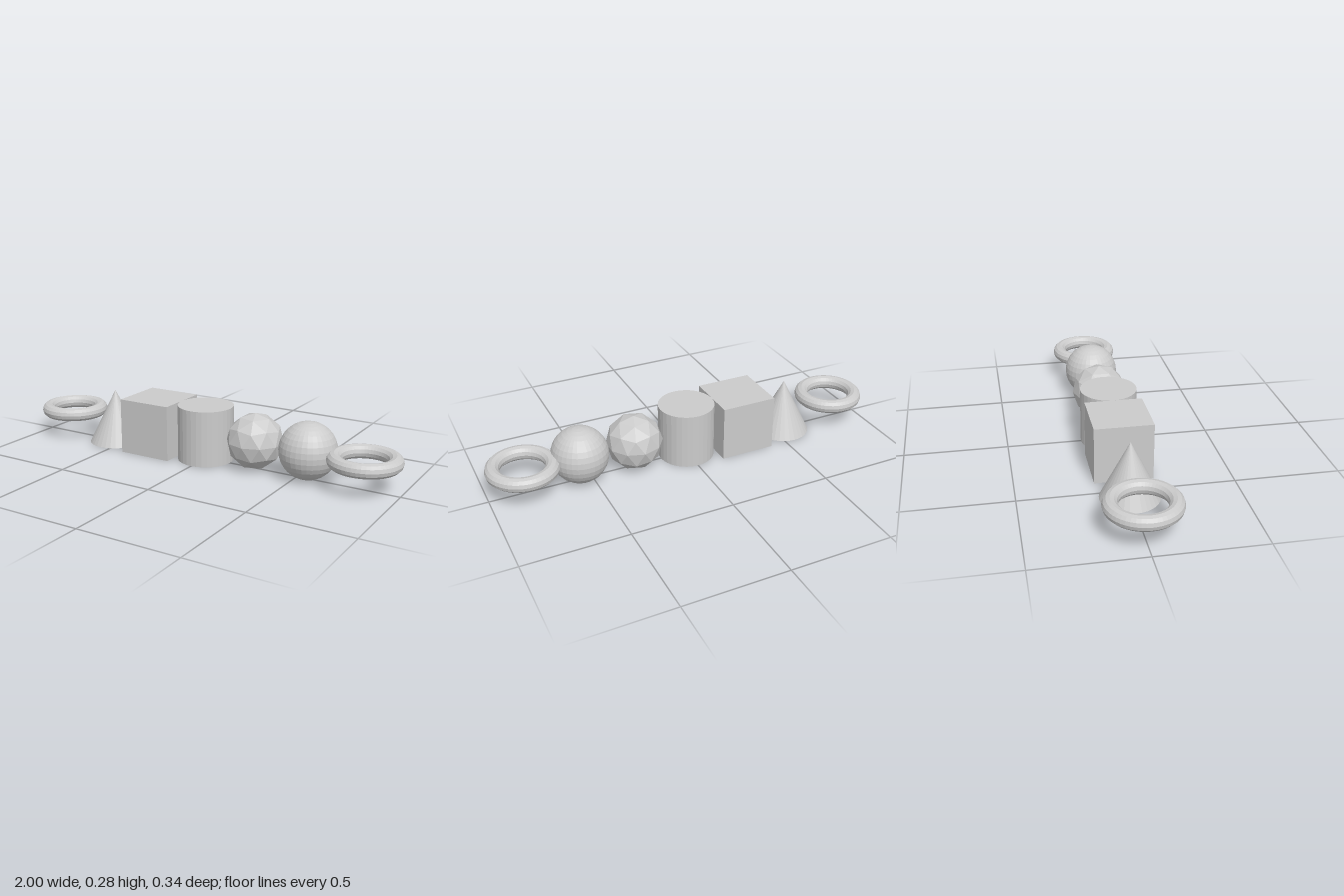
import * as THREE from 'three';

const U = 2 / 14.5; // radius shared by all the solids

export function createModel() {
  const group = new THREE.Group();
  const material = new THREE.MeshStandardMaterial({ color: 0xcccccc, flatShading: true });

  // Places a solid at a slot along the row, centred at height U
  const add = (name, geometry, slot) => {
    const mesh = new THREE.Mesh(geometry, material);
    mesh.name = name;
    mesh.position.set(slot * 2 * U, U, 0);
    group.add(mesh);
  };

  // Flat rings at both ends
  const ring = new THREE.TorusGeometry(U, U / 4, 12, 48).rotateX(-Math.PI / 2);
  add('rightRing', ring, -3);
  add('leftRing', ring, 3);

  // Row of solids
  add('cone', new THREE.ConeGeometry(U, 2 * U, 32), -2);
  add('cube', new THREE.BoxGeometry(2 * U, 2 * U, 2 * U), -1);
  add('cylinder', new THREE.CylinderGeometry(U, U, 2 * U, 32), 0);

  // Faceted ball, turned so that a corner points straight up
  const tilt = Math.atan(2 / (1 + Math.sqrt(5)));
  add('facetedBall', new THREE.IcosahedronGeometry(U, 1).rotateZ(-tilt), 1);

  add('sphere', new THREE.SphereGeometry(U, 32, 16), 2);

  return group;
}
